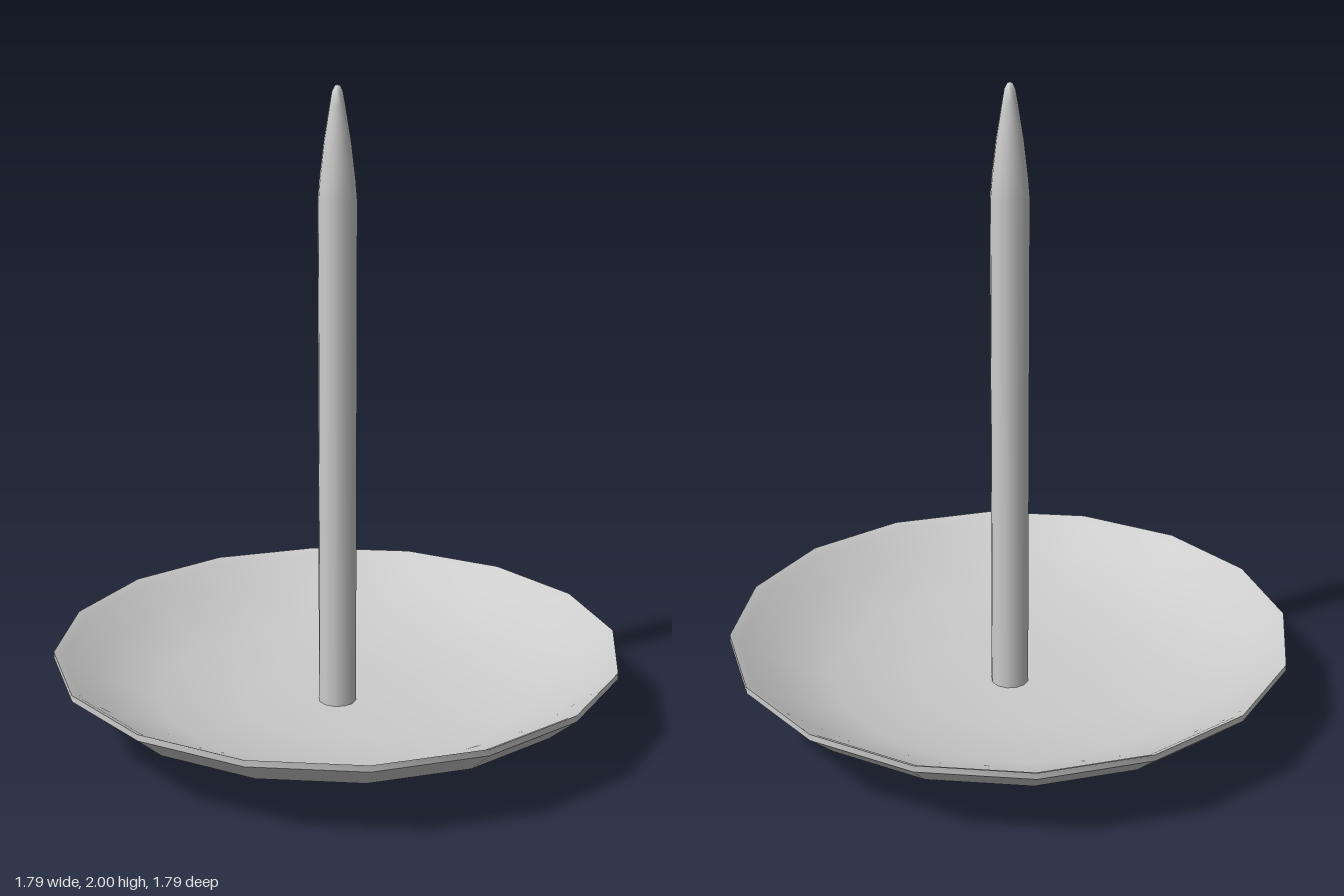
import * as THREE from 'three';
import { toCreasedNormals } from 'three/addons/utils/BufferGeometryUtils.js';

const material = new THREE.MeshStandardMaterial({ color: 0xcccccc });

// Revolves a profile of [radius, height] pairs around the y axis
function turned(name, profile, sides, crease) {
  const points = profile.map(([r, y]) => new THREE.Vector2(r, y));
  const geometry = toCreasedNormals(new THREE.LatheGeometry(points, sides), crease);
  const mesh = new THREE.Mesh(geometry, material);
  mesh.name = name;
  return mesh;
}

export function createModel() {
  const group = new THREE.Group();
  group.name = 'thumbtack';

  // Shallow dished head: domed underside, thin rim, hollow upper face
  group.add(turned('head', [
    [0, 0.005], [0.31, 0.013], [0.6, 0.052], [0.8, 0.15], [0.893, 0.23],
    [0.893, 0.25],
    [0.865, 0.235], [0.78, 0.175], [0.58, 0.09], [0.3, 0.056], [0, 0.05],
  ], 16, 0.7));

  // Straight shank tapering to a blunt point, its foot sunk into the head
  group.add(turned('pin', [
    [0, 0.03], [0.06, 0.03], [0.06, 1.66], [0.055, 1.72], [0.042, 1.83],
    [0.024, 1.94], [0.017, 1.98], [0.008, 1.997], [0, 2],
  ], 12, 0.9));

  return group;
}
